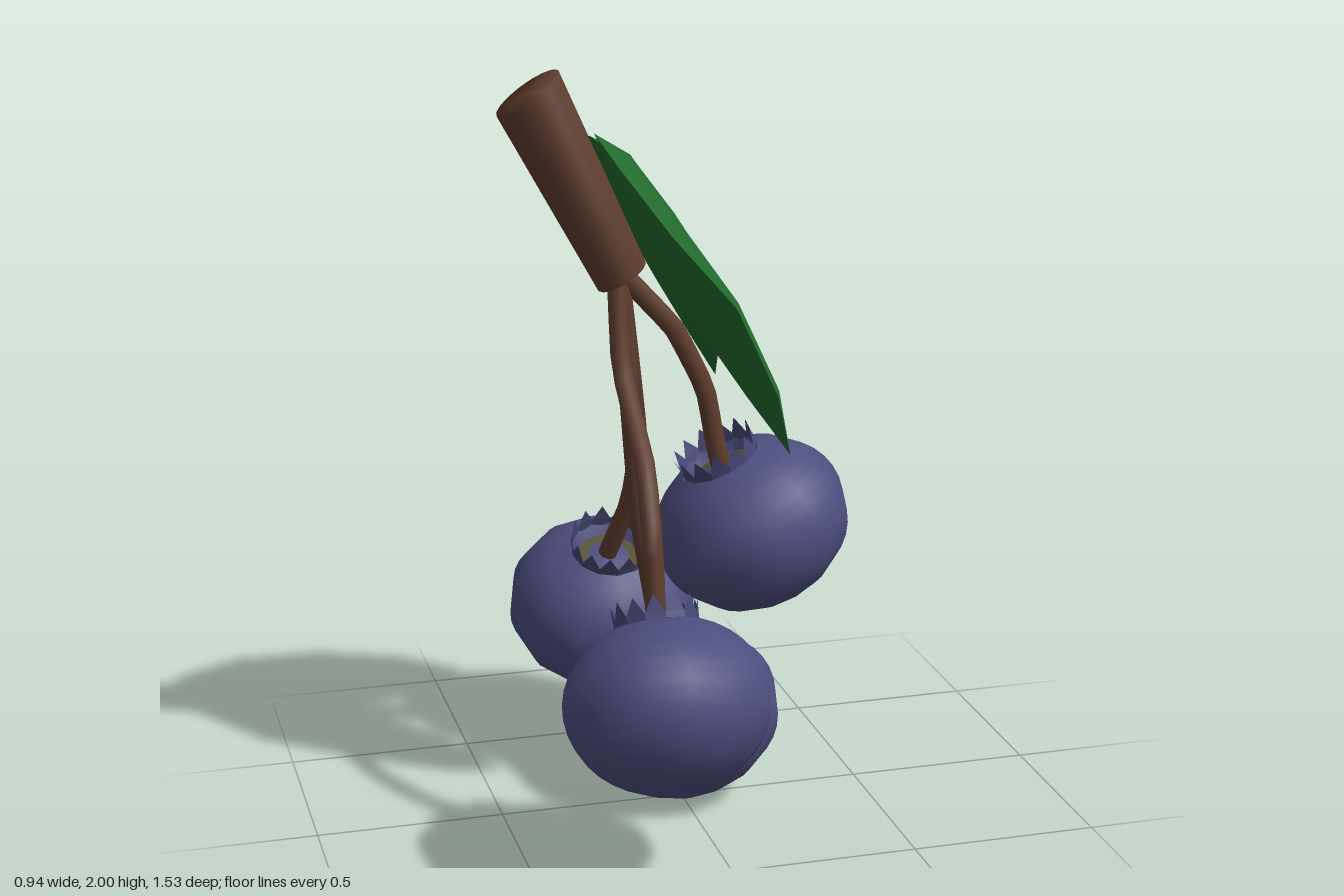
import * as THREE from 'three';
import { mergeVertices } from 'three/addons/utils/BufferGeometryUtils.js';

const mat = (name, color, side = THREE.FrontSide) => {
  const m = new THREE.MeshStandardMaterial({ color, side });
  m.name = name;
  return m;
};
const V = (a) => new THREE.Vector3(...a);

export function createModel() {
  const berryBlue = mat('berry blue', 0x4e4e80);
  const crownBlue = mat('crown blue', 0x464676, THREE.DoubleSide);
  const olive = mat('olive', 0x555132, THREE.DoubleSide);
  const bark = mat('bark brown', 0x5f3d2e);
  const leafGreen = mat('leaf green', 0x226a2d, THREE.DoubleSide);

  const model = new THREE.Group();
  const add = (parent, name, geo, material) => {
    const mesh = new THREE.Mesh(geo, material);
    mesh.name = name;
    parent.add(mesh);
    return mesh;
  };

  // Branch: a cylinder sheared between two slanted ends, smooth over its caps
  let branch = new THREE.CylinderGeometry(1, 1, 1, 16, 1);
  branch.deleteAttribute('normal');
  branch.deleteAttribute('uv');
  branch = mergeVertices(branch);
  const pos = branch.attributes.position;
  const ends = [
    { c: [-0.145, 1.46], u: [0.062, 0.038], r: 0.08 },
    { c: [-0.386, 1.945], u: [0.08, 0.056], r: 0.098 },
  ];
  for (let i = 0; i < pos.count; i++) {
    const e = ends[pos.getY(i) > 0 ? 1 : 0];
    const x = pos.getX(i), z = pos.getZ(i);
    pos.setXYZ(i, e.c[0] + x * e.u[0], e.c[1] + x * e.u[1], -0.053 + z * e.r);
  }
  branch.computeVertexNormals();
  add(model, 'branch', branch, bark);

  // Shared berry geometry: oblate body open at the top, then a shallow cup
  const A = 0.27, B = 0.225, RIM = 0.112;
  const profile = [];
  const rimAngle = Math.acos(RIM / A);
  for (let i = 0; i <= 16; i++) {
    const t = -Math.PI / 2 + (rimAngle + Math.PI / 2) * (i / 16);
    profile.push(new THREE.Vector2(Math.max(A * Math.cos(t), 0), B * Math.sin(t)));
  }
  const bodyGeo = new THREE.LatheGeometry(profile, 12);
  const lathe = (pts) => new THREE.LatheGeometry(pts.map((p) => new THREE.Vector2(...p)), 12);
  const cupGeo = lathe([[RIM, 0.205], [0.085, 0.18]]);
  const ringGeo = lathe([[0.086, 0.181], [0.058, 0.181]]);
  const floorGeo = lathe([[0.059, 0.181], [0, 0.19]]);

  // Crown: a low collar that breaks into a ring of pointed teeth
  const crown = [];
  const TEETH = 13;
  for (let i = 0; i < TEETH; i++) {
    const at = (k, r, y) => {
      const a = ((i + k) / TEETH) * Math.PI * 2;
      crown.push(r * Math.sin(a), y, r * Math.cos(a));
    };
    const low = [0.108, 0.19], high = [0.11, 0.222], point = [0.112, 0.266];
    at(0, ...low); at(1, ...low); at(1, ...high);
    at(0, ...low); at(1, ...high); at(0, ...high);
    at(0, ...high); at(1, ...high); at(0.5, ...point);
  }
  const crownGeo = new THREE.BufferGeometry();
  crownGeo.setAttribute('position', new THREE.Float32BufferAttribute(crown, 3));
  crownGeo.computeVertexNormals();

  // Each berry: centre, direction of its crown, and the stem that holds it
  const berries = [
    { name: 'front', at: [-0.174, 0.483, 0.505], up: [0, 0.87, -0.5],
      stem: [[-0.16, 1.51, -0.05], [-0.163, 1.23, 0.01], [-0.168, 1.04, 0.27], [-0.175, 0.87, 0.37], [-0.175, 0.66, 0.4]] },
    { name: 'back', at: [-0.095, 0.397, -0.5], up: [0, 0.91, 0.41],
      stem: [[-0.15, 1.45, -0.05], [-0.1, 1.18, -0.14], [-0.052, 0.94, -0.25], [-0.055, 0.74, -0.345], [-0.1, 0.57, -0.42]] },
    { name: 'upper', at: [0.212, 0.754, -0.05], up: [-0.44, 0.9, 0],
      stem: [[-0.14, 1.46, -0.05], [-0.005, 1.31, -0.05], [0.08, 1.14, -0.05], [0.108, 0.99, -0.05], [0.125, 0.92, -0.05]] },
    { name: 'lower', at: [0.014, 0.23, -0.035], up: [-0.29, 0.957, 0],
      stem: [[-0.15, 1.46, -0.05], [-0.13, 1.14, -0.04], [-0.105, 0.8, -0.035], [-0.04, 0.41, -0.035]] },
  ];
  for (const b of berries) {
    const berry = new THREE.Group();
    berry.name = b.name + ' berry';
    add(berry, 'body', bodyGeo, berryBlue);
    add(berry, 'cup', cupGeo, crownBlue);
    add(berry, 'cup ring', ringGeo, olive);
    add(berry, 'cup floor', floorGeo, berryBlue);
    add(berry, 'crown', crownGeo, crownBlue);
    berry.position.set(...b.at);
    berry.quaternion.setFromUnitVectors(new THREE.Vector3(0, 1, 0), V(b.up).normalize());
    model.add(berry);

    const path = new THREE.CatmullRomCurve3(b.stem.map(V), false, 'catmullrom', 0.15);
    add(model, b.name + ' stem', new THREE.TubeGeometry(path, 12, 0.027, 8), bark);
  }

  // Leaves: rows between the two edges, with a swollen upper and lower face
  const base = [-0.215, 1.835, -0.053], tip = [0.19, 1.065, 0.354];
  const outer = [base, [-0.19, 1.775, 0.1], [-0.1, 1.63, 0.286], [0.04, 1.46, 0.38], [0.14, 1.235, 0.407], tip];
  const inner = [base, [-0.13, 1.765, -0.09], [-0.06, 1.62, -0.113], [0.04, 1.36, -0.035], [0.14, 1.19, 0.12], tip];
  const bulge = [0, 0.03, 0.045, 0.05, 0.035, 0];
  const COLS = 6;
  const leaf = (side) => {
    const verts = [], index = [];
    for (const face of [1, -1]) {
      const start = verts.length / 3;
      outer.forEach((o, r) => {
        for (let c = 0; c <= COLS; c++) {
          const t = c / COLS;
          const p = V(o).lerp(V(inner[r]), t);
          const h = face * bulge[r] * 4 * t * (1 - t);
          // The back leaf tucks under the front one and lifts at its tip
          const shift = side > 0 ? 0 : -0.02 + 0.01 * r;
          const z = side > 0 ? p.z : -0.082 - p.z;
          verts.push(p.x + shift + h * 0.88, p.y + h * 0.47, z);
          if (r && c) {
            const d = start + r * (COLS + 1) + c, a = d - COLS - 2;
            const quad = [a, a + 1, d, a, d, d - 1];
            index.push(...(side * face > 0 ? quad : quad.reverse()));
          }
        }
      });
    }
    const g = new THREE.BufferGeometry();
    g.setAttribute('position', new THREE.Float32BufferAttribute(verts, 3));
    g.setIndex(index);
    g.computeVertexNormals();
    return g;
  };
  add(model, 'front leaf', leaf(1), leafGreen);
  add(model, 'back leaf', leaf(-1), leafGreen);

  return model;
}
